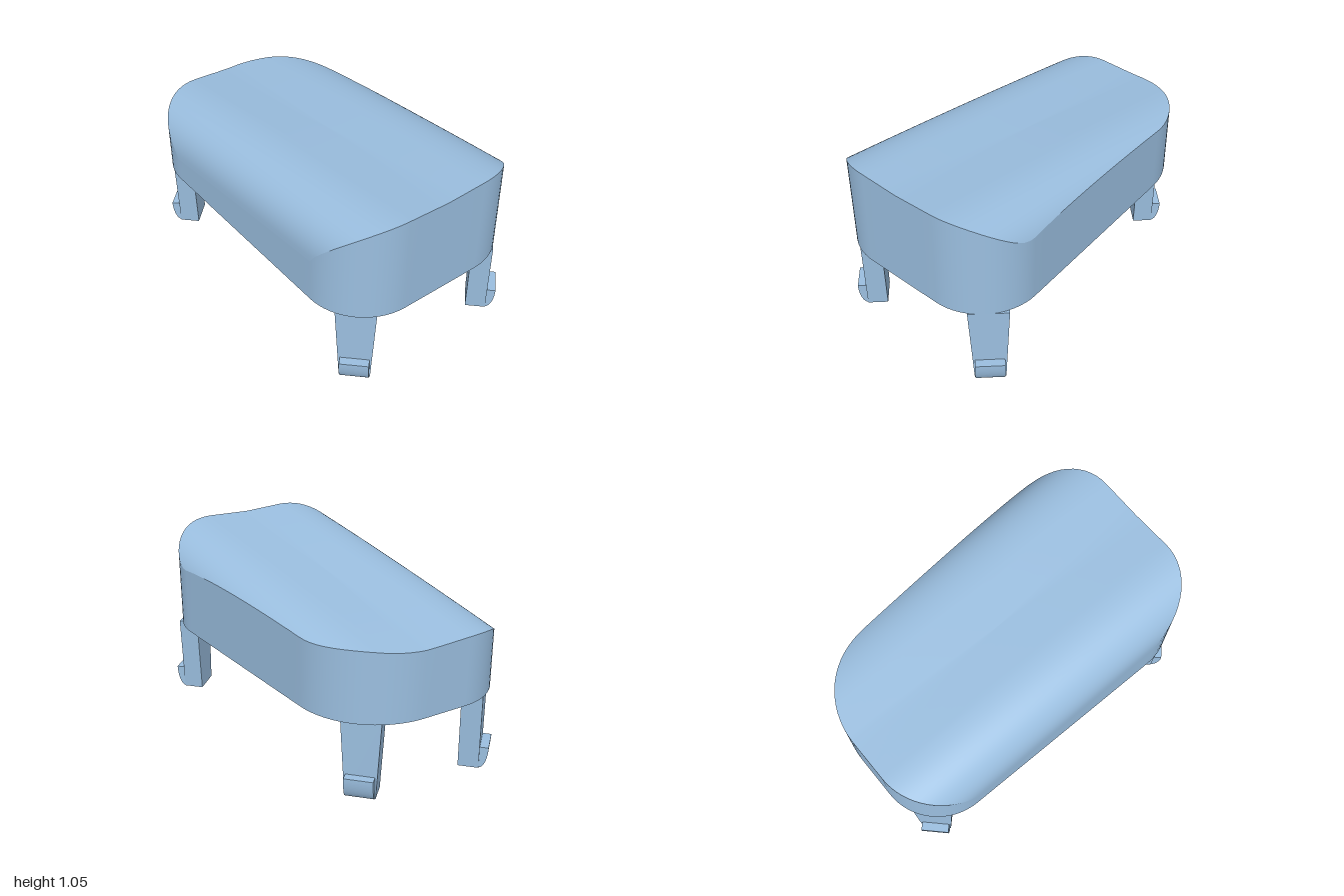
import * as THREE from 'three';

const RIM = 0.465, WALL = 0.087, ROOF = 0.065;

// Rounded plan outline, inset by t, as [x, z] points running from +x towards +z
function outline(t) {
  const pts = [];
  const arc = (cx, cz, r, a0, a1) => {
    for (let i = 0; i <= 16; i++) {
      const a = a0 + (a1 - a0) * i / 16;
      pts.push([cx + (r - t) * Math.cos(a), cz + (r - t) * Math.sin(a)]);
    }
  };
  const H = Math.PI / 2, tilt = 0.08; // the back edge slants a little
  arc(0.65, 0.25, 0.35, 0, H);
  arc(-0.65, 0.25, 0.35, H, 2 * H);
  arc(-0.52, -0.015, 0.48, 2 * H, 3 * H - tilt);
  arc(0.65, -0.247, 0.35, 3 * H - tilt, 4 * H);
  // Subdivide the straight runs
  const out = [];
  pts.forEach((p, i) => {
    const q = pts[(i + 1) % pts.length];
    const n = Math.max(1, Math.round(Math.hypot(q[0] - p[0], q[1] - p[1]) / 0.08));
    for (let k = 0; k < n; k++) out.push([p[0] + (q[0] - p[0]) * k / n, p[1] + (q[1] - p[1]) * k / n]);
  });
  return out;
}

// Height of the sloping, slightly dished top with full, rolled front and back
function topHeight(x, z) {
  const ridge = 0.9625 + 0.0925 * x - 0.0095 * x * x;
  const u = Math.min(1, Math.max(0, (z > 0 ? z - 0.25 : -z - 0.27) / 0.35));
  const dip = 0.011 * Math.max(0, 1 - Math.abs(z) / 0.26);
  return ridge - dip - 0.29 * (1 - (1 - u ** 2.4) ** (1 / 2.4));
}

// Skin closed rows of points
function loft(rows, flip) {
  const n = rows[0].length, index = [];
  for (let j = 0; j < rows.length - 1; j++) {
    for (let i = 0; i < n; i++) {
      const a = j * n + i, b = j * n + (i + 1) % n, c = a + n, d = b + n;
      if (flip) index.push(a, b, c, b, d, c);
      else index.push(a, c, b, b, c, d);
    }
  }
  const g = new THREE.BufferGeometry();
  g.setAttribute('position', new THREE.Float32BufferAttribute(rows.flat(2), 3));
  g.setIndex(index);
  g.computeVertexNormals();
  return g;
}

export function createModel() {
  const blue = new THREE.MeshStandardMaterial({ color: 0x9bbfe0 });
  blue.name = 'light blue';
  const model = new THREE.Group();
  const add = (parent, name, geometry) => {
    const mesh = new THREE.Mesh(geometry, blue);
    mesh.name = name;
    parent.add(mesh);
  };

  // Hollow cap: outer and inner skins joined by a flat rim
  const cap = new THREE.Group();
  cap.name = 'cap';
  model.add(cap);
  const outer = outline(0), inner = outline(WALL);
  const innerHeight = (x, z) => topHeight(x, z * 0.6 / (0.6 - WALL)) - ROOF;
  const row = (pts, height, s = 1) => pts.map(([x, z]) => [x * s, height(x * s, z * s), z * s]);
  const flat = () => RIM;
  const rings = (pts, height) => {
    const rows = [];
    for (let k = 32; k >= 0; k--) rows.push(row(pts, height, Math.sin(k / 32 * Math.PI / 2)));
    return rows;
  };
  add(cap, 'outerWall', loft([row(outer, flat), row(outer, topHeight)]));
  add(cap, 'top', loft(rings(outer, topHeight)));
  add(cap, 'innerWall', loft([row(inner, flat), row(inner, innerHeight)], true));
  add(cap, 'ceiling', loft(rings(inner, innerHeight), true));

  const toVectors = pts => pts.map(([x, z]) => new THREE.Vector2(x, z));
  const rimShape = new THREE.Shape(toVectors(outer));
  rimShape.holes.push(new THREE.Path(toVectors(inner)));
  add(cap, 'rim', new THREE.ShapeGeometry(rimShape).rotateX(Math.PI / 2).translate(0, RIM, 0));

  // Tapered leg
  const legGeometry = new THREE.BoxGeometry(1, RIM, 0.115).translate(0, RIM / 2, 0);
  const pos = legGeometry.attributes.position;
  for (let i = 0; i < pos.count; i++) pos.setX(i, pos.getX(i) * (pos.getY(i) > 0.1 ? 0.22 : 0.17));
  legGeometry.computeVertexNormals();

  // Outward hook with a rounded underside
  const hookShape = new THREE.Shape();
  hookShape.moveTo(0.04, 0);
  hookShape.lineTo(0.055, 0);
  hookShape.absellipse(0.055, 0.13, 0.051, 0.13, -Math.PI / 2, 0, false);
  hookShape.lineTo(0.04, 0.13);
  const hookGeometry = new THREE.ExtrudeGeometry(hookShape, { depth: 0.16, bevelEnabled: false, curveSegments: 10 })
    .translate(0, 0, -0.08).rotateY(-Math.PI / 2);

  // One clip at each corner, facing diagonally outward
  const corners = [
    ['frontLeftClip', 0.84, 0.44], ['frontRightClip', -0.84, 0.44],
    ['backLeftClip', 0.84, -0.467], ['backRightClip', -0.803, -0.258],
  ];
  for (const [name, x, z] of corners) {
    const clip = new THREE.Group();
    clip.name = name;
    clip.position.set(x, 0, z);
    clip.rotation.y = Math.atan2(Math.sign(x), Math.sign(z));
    add(clip, 'leg', legGeometry);
    add(clip, 'hook', hookGeometry);
    model.add(clip);
  }
  return model;
}
